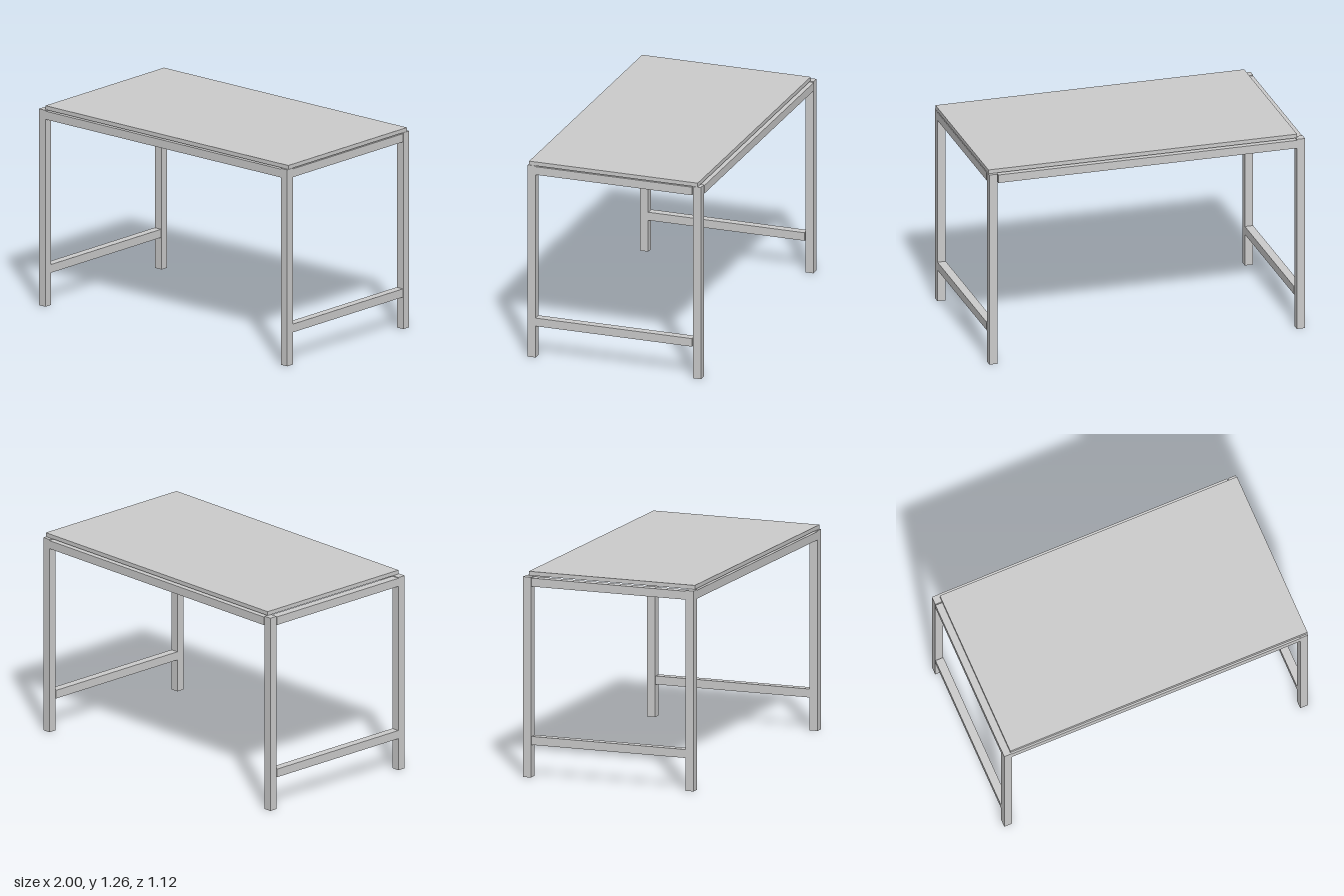
import * as THREE from 'three';

const material = new THREE.MeshStandardMaterial({ color: 0xcccccc });

// Box given by its limits along each axis
function bar(name, [x0, x1], [y0, y1], [z0, z1]) {
  const mesh = new THREE.Mesh(new THREE.BoxGeometry(x1 - x0, y1 - y0, z1 - z0), material);
  mesh.name = name;
  mesh.position.set((x0 + x1) / 2, (y0 + y1) / 2, (z0 + z1) / 2);
  return mesh;
}

export function createModel() {
  const table = new THREE.Group();
  table.name = 'table';

  const railY = [1.182, 1.234];
  const stretcherY = [0.203, 0.255];
  const frontZ = [0.509, 0.561];
  const backZ = [-0.558, -0.506];
  const sideZ = [-0.502, 0.509];
  const sides = [['left', [0.948, 1]], ['right', [-1, -0.948]]];

  // Legs, side rails and low stretchers at each end
  for (const [side, x] of sides) {
    table.add(
      bar(`${side}FrontLeg`, x, [0, 1.239], frontZ),
      bar(`${side}BackLeg`, x, [0, 1.239], backZ),
      bar(`${side}Rail`, x, railY, sideZ),
      bar(`${side}Stretcher`, x, stretcherY, sideZ)
    );
  }

  // Long rails under the top
  table.add(bar('frontRail', [-0.948, 0.948], railY, frontZ));
  table.add(bar('backRail', [-0.948, 0.944], railY, [-0.561, -0.509]));

  // Table top, set slightly off centre on the frame
  table.add(bar('tableTop', [-0.956, 1], [1.24, 1.265], [-0.538, 0.551]));

  return table;
}
